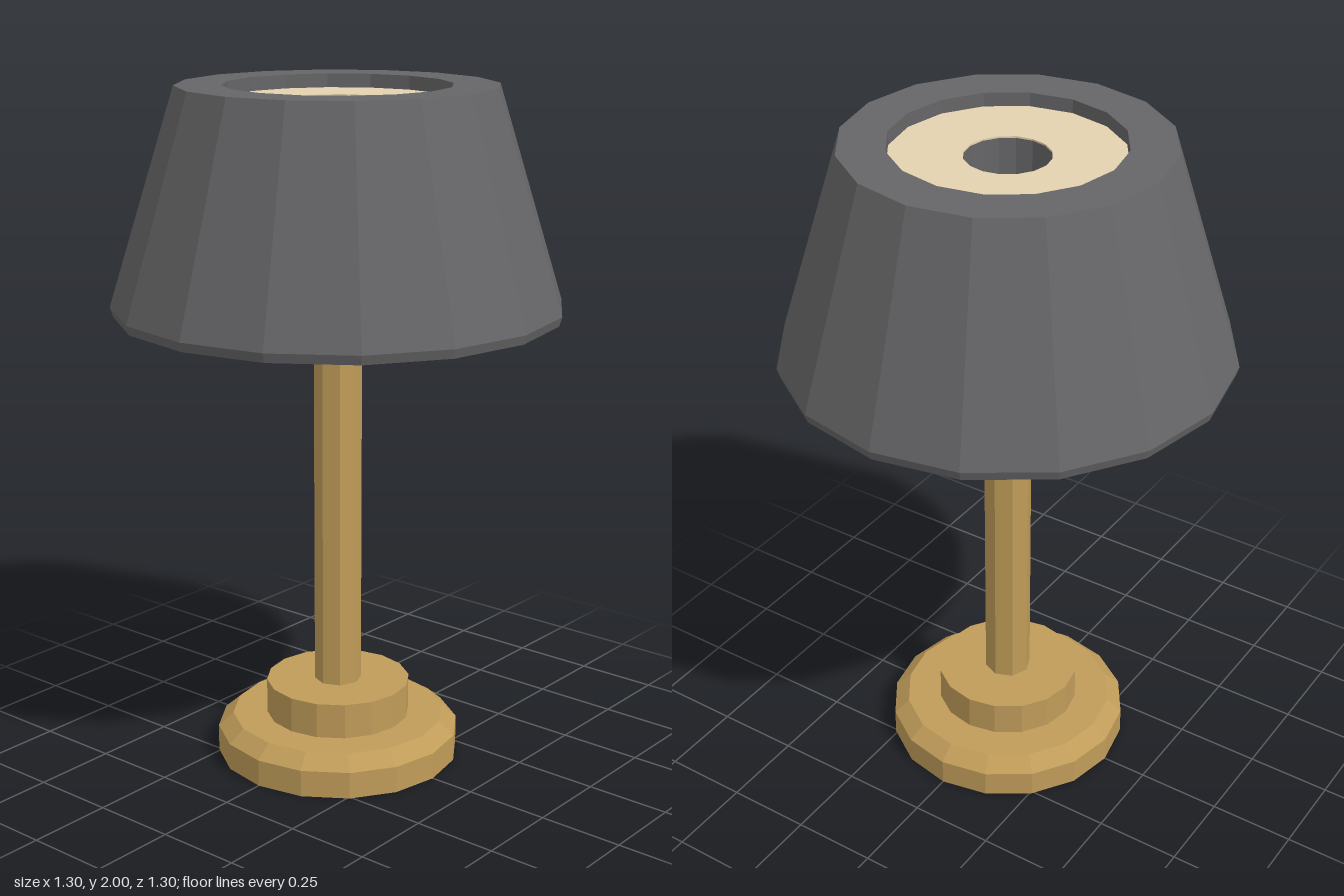
import * as THREE from 'three';

export function createModel() {
  const model = new THREE.Group();
  const material = (name, color) => {
    const m = new THREE.MeshStandardMaterial({ color, flatShading: true });
    m.name = name;
    return m;
  };
  const brass = material('brass', 0xc09c59);
  const charcoal = material('charcoal', 0x666668);
  const cream = material('cream', 0xe4d2af);

  // Faceted turned part from a [radius, height] profile
  const turned = (name, mat, profile, sides = 16) => {
    const points = profile.map(([r, y]) => new THREE.Vector2(r, y));
    const mesh = new THREE.Mesh(new THREE.LatheGeometry(points, sides), mat);
    mesh.name = name;
    model.add(mesh);
  };

  // Thin flat ring with a round opening
  const ring = (name, inner, outer, y, thick) => turned(name, cream, [
    [inner, y], [outer, y], [outer, y + thick], [inner, y + thick], [inner, y],
  ]);

  // Foot with chamfered lower step and a smaller upper step
  turned('base', brass, [
    [0, 0], [0.363, 0], [0.363, 0.08], [0.318, 0.12],
    [0.215, 0.12], [0.215, 0.225], [0, 0.225],
  ]);

  // Octagonal stem with a round fitting inside the shade
  turned('stem', brass, [[0.07, 0.225], [0.07, 1.42]], 8);
  turned('lampFitting', brass, [[0, 1.42], [0.07, 1.42], [0.07, 1.5], [0, 1.5]]);

  // Hollow shade with a thick top rim and a narrow lower band
  turned('shade', charcoal, [
    [0.63, 1.353], [0.642, 1.353], [0.65, 1.38], [0.457, 2],
    [0.325, 2], [0.325, 1.95], [0.63, 1.41], [0.63, 1.353],
  ]);

  // Inward-facing vent between the two plates
  turned('innerTube', charcoal, [[0.12, 1.955], [0.12, 1.405]]);

  // Diffuser plates closing the shade, the lower one recessed
  ring('topDiffuser', 0.12, 0.325, 1.955, 0.005);
  ring('bottomDiffuser', 0.1, 0.63, 1.4, 0.008);

  return model;
}
